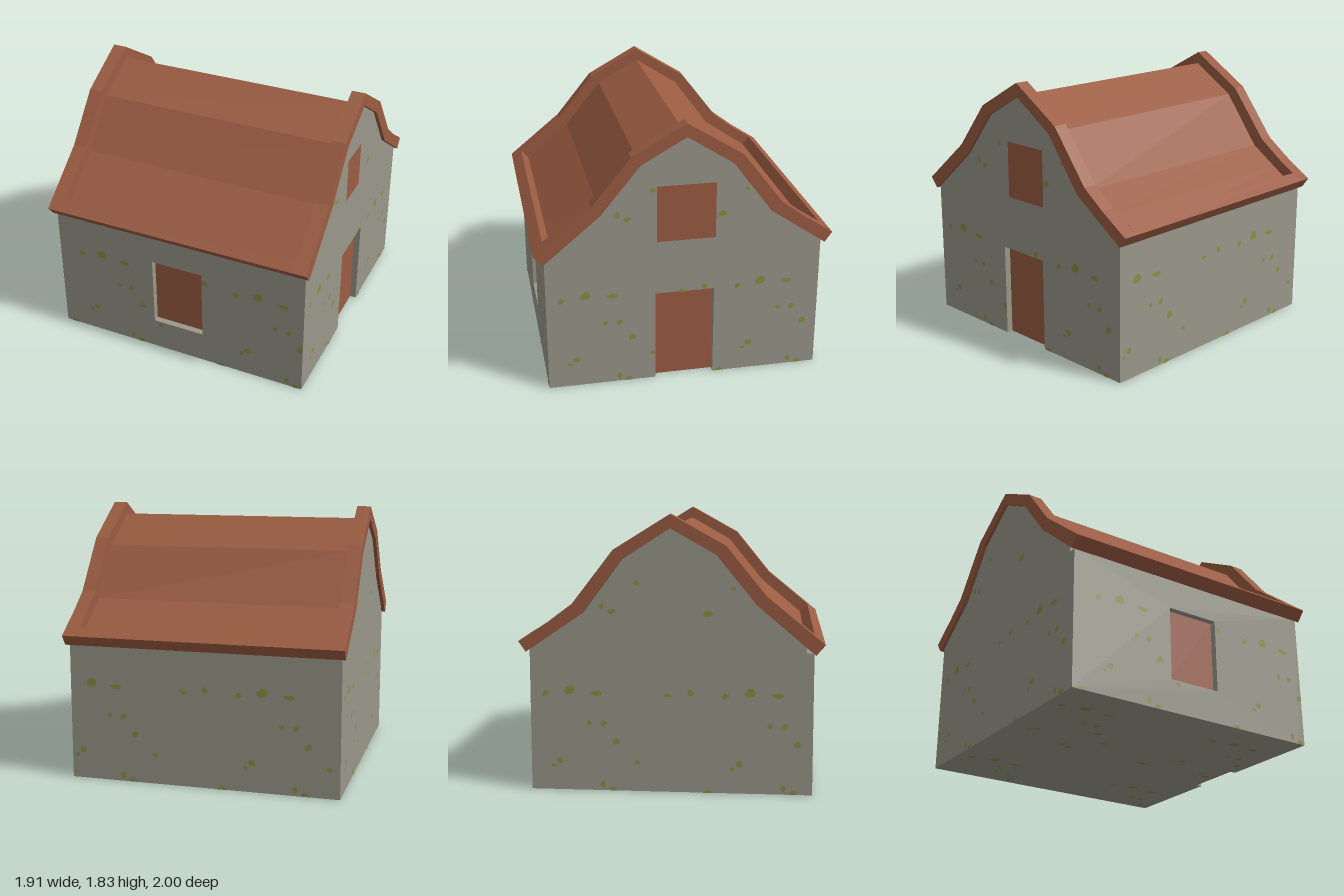
import * as THREE from 'three';

const WALL = 0.93, INNER = 0.88; // outer wall face and back of the recesses

// Roof profiles seen from the gable: [across, height]
const outer = [[-1, 1], [-0.62, 1.31], [-0.36, 1.63], [0, 1.83], [0.37, 1.6], [0.64, 1.25], [0.8, 1.13], [1, 1]];
const inner = [[-0.94, 0.93], [-0.56, 1.25], [-0.3, 1.57], [0, 1.74], [0.31, 1.54], [0.57, 1.19], [0.76, 1.06], [0.95, 0.93]];

// Height of the inner profile at a position across the gable
function roofHeight(s) {
  for (let i = 1; i < inner.length; i++) {
    const [a, ya] = inner[i - 1], [b, yb] = inner[i];
    if (s <= b) return ya + (yb - ya) * (s - a) / (b - a);
  }
  return 0.93;
}

const shapeOf = (pts) => new THREE.Shape(pts.map(([x, y]) => new THREE.Vector2(x, y)));
const rectPath = (x0, y0, x1, y1) => new THREE.Path(
  [[x0, y0], [x0, y1], [x1, y1], [x1, y0]].map(([x, y]) => new THREE.Vector2(x, y)));

// Extrudes a gable outline along x
function extrudeX(shape, x0, x1) {
  const g = new THREE.ExtrudeGeometry(shape, { depth: x1 - x0, bevelEnabled: false });
  return g.translate(0, 0, x0).rotateY(Math.PI / 2);
}

export function createModel() {
  const group = new THREE.Group();
  const material = (name, color) => {
    const m = new THREE.MeshStandardMaterial({ color });
    m.name = name;
    return m;
  };
  const stone = material('stone', 0x9a988a);
  const clay = material('clay', 0x9b5c42);
  const moss = material('moss', 0x8a9044);
  const add = (name, geometry, mat) => {
    const mesh = new THREE.Mesh(geometry, mat);
    mesh.name = name;
    group.add(mesh);
    return mesh;
  };
  const box = (name, mat, w, h, d, x, y, z) =>
    add(name, new THREE.BoxGeometry(w, h, d).translate(x, y, z), mat);

  // Solid core behind the two walls with openings
  const ridgeLine = inner.slice(1, -1);
  add('houseBody', extrudeX(shapeOf([
    [-INNER, 0], [-INNER, roofHeight(-INNER)], ...ridgeLine, [WALL, roofHeight(WALL)], [WALL, 0],
  ]), -WALL, INNER), stone);

  // Gable wall with a doorway and an upper window
  const gable = shapeOf([
    [-WALL, 0], [-WALL, roofHeight(-WALL)], ...ridgeLine, [WALL, roofHeight(WALL)],
    [WALL, 0], [0.2, 0], [0.2, 0.645], [-0.2, 0.645], [-0.2, 0],
  ]);
  gable.holes.push(rectPath(-0.19, 1, 0.215, 1.41));
  add('gableWall', extrudeX(gable, INNER, WALL), stone);

  // Front wall with a window
  const front = shapeOf([[-WALL, 0], [INNER, 0], [INNER, 0.94], [-WALL, 0.94]]);
  front.holes.push(rectPath(-0.19, 0.225, 0.185, 0.73));
  add('frontWall', new THREE.ExtrudeGeometry(front, { depth: WALL - INNER, bevelEnabled: false })
    .translate(0, 0, INNER), stone);

  // Recessed panels
  box('door', clay, 0.008, 0.645, 0.4, INNER + 0.002, 0.3225, 0);
  box('upperShutter', clay, 0.008, 0.41, 0.405, INNER + 0.002, 1.205, -0.0125);
  box('frontShutter', clay, 0.375, 0.505, 0.008, -0.0025, 0.4775, INNER + 0.002);

  // Sunken roof deck
  const deck = [...inner].map(([s, y]) => [s, y + 0.006]);
  add('roofDeck', extrudeX(shapeOf([...inner, ...deck.reverse()]), -0.87, 0.87), clay);

  // Raised rims over both gables
  const rim = shapeOf([...outer, ...[...inner].reverse()]);
  add('rightRim', extrudeX(rim, 0.86, 0.955), clay);
  add('leftRim', extrudeX(rim, -0.955, -0.86), clay);

  // Raised eaves along front and back
  add('frontEave', extrudeX(shapeOf([[-1, 1], [-0.93, 1.057], [-0.87, 0.987], [-0.94, 0.93]]), -0.86, 0.86), clay);
  add('backEave', extrudeX(shapeOf([[1, 1], [0.93, 1.048], [0.88, 0.975], [0.95, 0.93]]), -0.86, 0.86), clay);

  // Moss patches: [across, height, half width, half height], repeating in both directions
  const PERIOD = 1.19;
  const patches = [
    [-0.83, 0.65, 0.022, 0.02], [-0.67, 0.675, 0.033, 0.034], [-0.49, 0.657, 0.036, 0.019],
    [-0.02, 0.65, 0.025, 0.012], [0.13, 0.67, 0.022, 0.02], [-0.54, 0.457, 0.019, 0.016],
    [-0.445, 0.455, 0.021, 0.02], [-0.36, 0.335, 0.023, 0.025], [-0.74, 0.2, 0.022, 0.024],
    [-0.783, 0.165, 0.016, 0.013], [-0.22, 0.197, 0.02, 0.015], [-0.45, 0.042, 0.02, 0.02],
    [-0.385, 0.01, 0.027, 0.018], [0.245, 0, 0.03, 0.022],
  ];
  const clamp = THREE.MathUtils.clamp;
  function mossShapes(shift, y0, top, openings) {
    const shapes = [];
    for (let i = -1; i <= 1; i++) for (let j = -1; j <= 1; j++) {
      patches.forEach(([pu, pv, w, h], k) => {
        const u = pu + shift + i * PERIOD, v = pv + j * PERIOD;
        if (Math.abs(u) > WALL || v < y0 || v > top(u) - 0.02) return;
        if (openings.some(([a, b, c, d]) => u > a && u < c && v > b && v < d)) return;
        const pts = [];
        for (let n = 0; n < 9; n++) {
          const t = n / 9 * Math.PI * 2, r = 1 + 0.14 * Math.sin(2 * t + k) + 0.1 * Math.cos(3 * t + 2 * k);
          pts.push([clamp(u + w * r * Math.cos(t), -WALL, WALL), Math.max(y0, v + h * r * Math.sin(t))]);
        }
        shapes.push(shapeOf(pts));
      });
    }
    return new THREE.ShapeGeometry(shapes).translate(0, 0, WALL + 0.003);
  }
  const eaveTop = () => 0.92;
  add('frontMoss', mossShapes(0.08, 0, eaveTop, [[-0.19, 0.225, 0.185, 0.73]]), moss);
  add('backMoss', mossShapes(-0.11, 0, eaveTop, []).rotateY(Math.PI), moss);
  add('rightMoss', mossShapes(0, 0, roofHeight, [[-0.2, 0, 0.2, 0.645], [-0.19, 1, 0.215, 1.41]])
    .rotateY(Math.PI / 2), moss);
  add('leftMoss', mossShapes(0, 0, (u) => roofHeight(-u), []).rotateY(-Math.PI / 2), moss);
  add('baseMoss', mossShapes(0, -WALL, () => WALL, [[-0.2, -WALL, 0.2, WALL]])
    .translate(0, 0, -WALL - 0.001).rotateX(Math.PI / 2), moss);

  return group;
}
